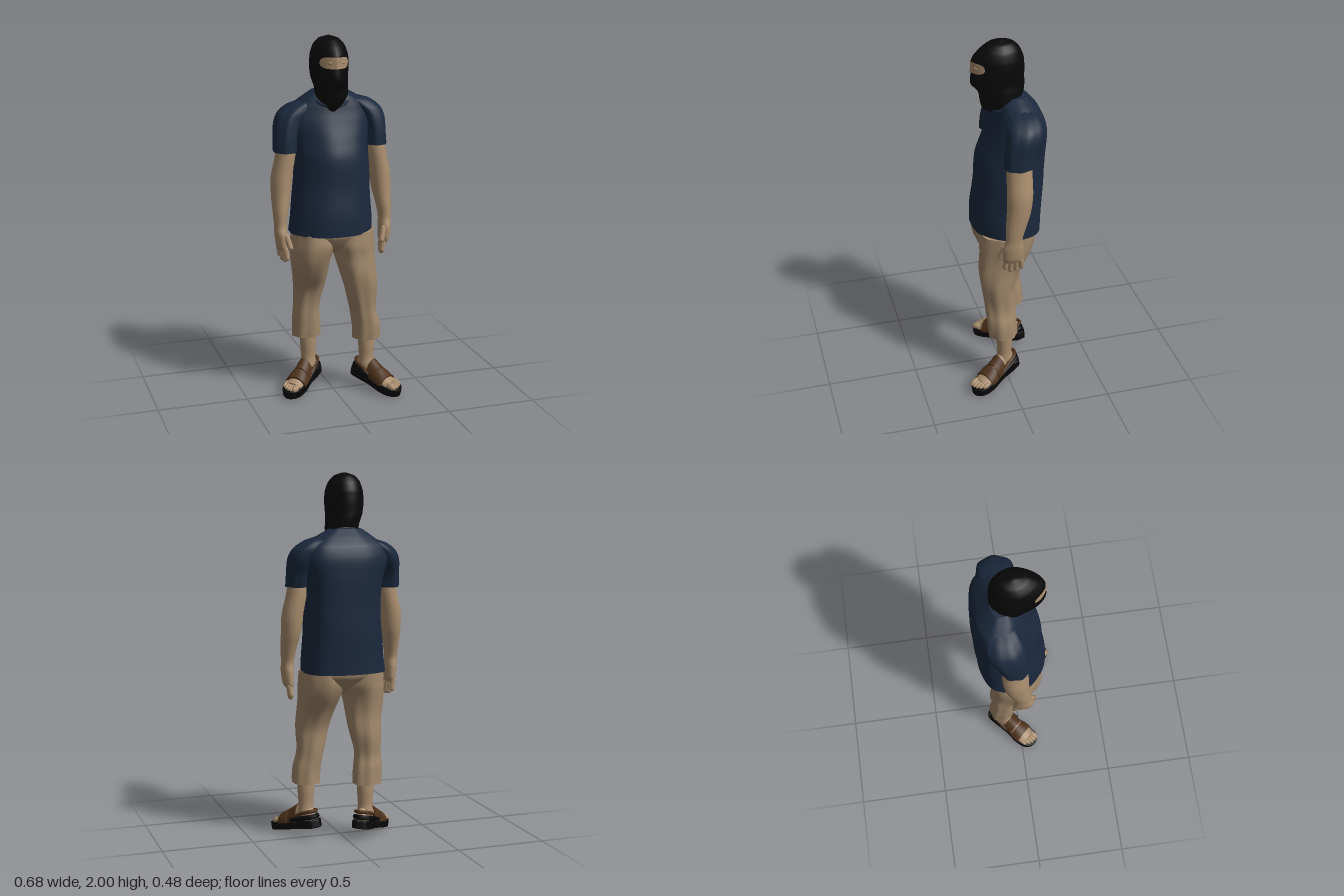
import * as THREE from 'three';

const mat = (name, color) => {
  const m = new THREE.MeshStandardMaterial({ color });
  m.name = name;
  return m;
};

// Smooth curves through sections [y, cx, cz, rx, front, back]; t is 0..1.
// A power over 1 makes that half pointed, under 1 makes it boxy.
function sampler(sections, frontPower = 1, backPower = 1) {
  const s = sections.map(([y, x, z, rx, f, b = f]) => [y, x, z, rx, f, b]);
  if (s[0][0] > s[s.length - 1][0]) s.reverse();
  const centre = new THREE.CatmullRomCurve3(s.map(([y, x, z]) => new THREE.Vector3(x, y, z)));
  const radii = new THREE.CatmullRomCurve3(s.map(([, , , rx, f, b]) => new THREE.Vector3(rx, f, b)));
  return (t, a, grow = 0) => {
    const c = centre.getPoint(t), r = radii.getPoint(t);
    const co = Math.cos(a), si = Math.sin(a), p = si < 0 ? backPower : frontPower;
    return new THREE.Vector3(
      c.x + (r.x + grow) * Math.sign(co) * Math.abs(co) ** p, c.y,
      c.z + ((si > 0 ? r.y : r.z) + grow) * Math.sign(si) * Math.abs(si) ** p);
  };
}

// Closed skin over the sections, with flat end caps and optional cloth folds
function loft(sections, { seg = 32, rows = 5, fold = 0, grow = 0, frontPower, backPower, from = 0, to = 1 } = {}) {
  const at = sampler(sections, frontPower, backPower), n = (sections.length - 1) * rows, pos = [], idx = [];
  const ring = (t) => {
    for (let j = 0; j < seg; j++) {
      const a = (j / seg) * Math.PI * 2, y = at(t, 0).y;
      const w = fold * Math.sin(3 * a + 11 * y) * Math.sin(4 * a - 9 * y);
      pos.push(...at(t, a, grow + w).toArray());
    }
  };
  for (let i = 0; i <= n; i++) ring(from + (to - from) * i / n);
  for (let i = 0; i < n; i++) for (let j = 0; j < seg; j++) {
    const k = (j + 1) % seg, a = i * seg + j, b = i * seg + k;
    idx.push(a, a + seg, b, b, a + seg, b + seg);
  }
  for (const [t, top] of [[from, false], [to, true]]) {
    const start = pos.length / 3;
    ring(t);
    const p = at(t, 0).add(at(t, Math.PI)).multiplyScalar(0.5);
    pos.push(p.x, p.y, p.z);
    for (let j = 0; j < seg; j++) {
      const a = start + j, b = start + (j + 1) % seg;
      idx.push(start + seg, top ? b : a, top ? a : b);
    }
  }
  const g = new THREE.BufferGeometry();
  g.setAttribute('position', new THREE.Float32BufferAttribute(pos, 3));
  g.setIndex(idx);
  g.computeVertexNormals();
  return g;
}

export function createModel() {
  const model = new THREE.Group();
  const black = mat('black', 0x080808), navy = mat('navy', 0x1b293d), skin = mat('skin', 0xa98d6e);
  const khaki = mat('khaki', 0xa0876a), brown = mat('brown', 0x4e321b);
  const add = (name, geo, m, parent = model) => {
    const mesh = new THREE.Mesh(geo, m);
    mesh.name = name;
    parent.add(mesh);
    return mesh;
  };

  // Hood
  const head = [
    [1.6, -0.01, -0.03, 0.03, 0.07, 0.05], [1.64, -0.005, -0.03, 0.065, 0.12, 0.08],
    [1.68, -0.003, -0.02, 0.086, 0.122, 0.1], [1.73, -0.008, -0.01, 0.09, 0.12, 0.124],
    [1.78, -0.02, -0.002, 0.097, 0.15, 0.137], [1.85, -0.021, -0.004, 0.104, 0.145, 0.135],
    [1.9, -0.021, -0.004, 0.1, 0.146, 0.131], [1.95, -0.021, -0.008, 0.084, 0.113, 0.108],
    [1.985, -0.021, -0.012, 0.052, 0.07, 0.07], [2, -0.021, -0.014, 0.008, 0.01, 0.01]];
  add('hood', loft(head, { seg: 40, rows: 6, frontPower: 1.2 }), black);

  // Skin in the eye opening, with a raised nose bridge and eyelids
  const headAt = sampler(head, 1.2);
  const eyeBand = new THREE.PlaneGeometry(1, 1, 40, 8), ep = eyeBand.attributes.position;
  for (let i = 0; i < ep.count; i++) {
    const u = ep.getX(i) * 2, v = ep.getY(i) * 2;
    const t = (5.43 + v * 0.58 * Math.sqrt(Math.max(0, 1 - u ** 6))) / 9;
    const p = headAt(t, Math.PI / 2 - u * 0.88 + 0.03, 0.003);
    p.z += 0.005 * Math.exp(-u * u * 40) * (1 - v) / 2;
    ep.setXYZ(i, p.x, p.y, p.z);
  }
  eyeBand.computeVertexNormals();
  add('eyeOpening', eyeBand, skin);
  for (const s of [-1, 1]) {
    const lid = add('eyelid', new THREE.SphereGeometry(1, 14, 8), skin);
    lid.scale.set(0.014, 0.008, 0.006);
    lid.position.copy(headAt(5.4 / 9, Math.PI / 2 - s * 0.4, 0.001));
    lid.rotation.y = s * 0.4;
  }

  // Shirt body and collar
  add('shirtBody', loft([
    [0.935, -0.008, -0.03, 0.23, 0.188, 0.185], [1.05, 0, -0.03, 0.22, 0.185, 0.192],
    [1.2, 0.005, -0.04, 0.208, 0.18, 0.187], [1.35, 0.008, -0.06, 0.204, 0.187, 0.175],
    [1.45, 0.01, -0.08, 0.213, 0.175, 0.155], [1.55, 0.005, -0.09, 0.235, 0.142, 0.142],
    [1.62, 0.008, -0.1, 0.212, 0.125, 0.112], [1.665, 0.008, -0.09, 0.155, 0.1, 0.085],
    [1.705, 0, -0.08, 0.09, 0.06, 0.055]], { seg: 56, fold: 0.004, backPower: 0.78 }), navy);
  const collar = [];
  for (let i = 0; i < 16; i++) {
    const a = (i / 16) * Math.PI * 2, s = Math.sin(a);
    collar.push(new THREE.Vector3(0.094 * Math.cos(a), 1.667 - 0.042 * s, -0.042 + 0.083 * s));
  }
  add('collar', new THREE.TubeGeometry(new THREE.CatmullRomCurve3(collar, true), 48, 0.008, 8, true), navy);

  // Sleeves, arms and hands
  for (const s of [-1, 1]) {
    const left = s > 0, side = left ? 'left' : 'right', lift = left ? 0.016 : 0;
    add(side + 'Sleeve', loft([
      [1.652, 0.115, -0.09, 0.04, 0.045], [1.628, 0.158, -0.092, 0.072, 0.078],
      [1.585, 0.206, -0.083, 0.08, 0.094], [1.535, 0.235, -0.07, 0.073, 0.095],
      [1.46, 0.25, -0.048, 0.063, 0.085], [1.385, 0.255, -0.04, 0.063, 0.077]]
      .map(([y, x, ...r]) => [y + lift, x * s, ...r]), { fold: 0.006 }), navy);

    add(side + 'Arm', loft([
      [1.46, 0.25, -0.04, 0.045, 0.06], [1.37, 0.256, -0.04, 0.054, 0.068],
      [1.25, 0.279, -0.038, 0.057, 0.069], [1.15, 0.287, -0.03, 0.052, 0.064],
      [1.06, 0.295, -0.012, 0.041, 0.054], [0.99, 0.298, -0.002, 0.034, 0.045],
      [0.94, 0.297, 0.002, 0.034, 0.056], [0.88, 0.294, 0, 0.029, 0.057],
      [0.855, 0.292, -0.001, 0.02, 0.051]].map(([y, x, ...r]) => [y, x * s, ...r]), { seg: 24 }), skin);

    const hand = new THREE.Group();
    hand.name = side + 'Fingers';
    hand.position.set(0.291 * s, 0.868, -0.001);
    model.add(hand);
    [0.052, 0.066, 0.062, 0.045].forEach((len, i) => {
      const f = add('finger', new THREE.CapsuleGeometry(0.0145, len, 4, 10), skin, hand);
      f.position.set((-0.014 + i * 0.006) * s, -len / 2 - 0.006, 0.038 - i * 0.0265);
      f.rotation.set((i - 1.5) * 0.05, 0, -0.16 * s);
    });
    const thumb = add('thumb', new THREE.CapsuleGeometry(0.0155, 0.065, 4, 10), skin, hand);
    thumb.position.set(-0.022 * s, 0.038, 0.056);
    thumb.rotation.set(-0.3, 0, -0.25 * s);
  }

  // Trousers
  add('trouserSeat', loft([
    [0.97, -0.004, -0.03, 0.215, 0.165, 0.165], [0.92, 0, -0.025, 0.222, 0.152, 0.165],
    [0.87, 0, -0.02, 0.15, 0.118, 0.13], [0.835, 0, -0.02, 0.07, 0.08, 0.085],
    [0.815, 0, -0.02, 0.03, 0.04, 0.04]], { seg: 40 }), khaki);
  const legs = {
    right: [[0.94, -0.115, -0.03, 0.11, 0.15], [0.87, -0.11, -0.02, 0.122, 0.153],
      [0.8, -0.12, -0.022, 0.112, 0.14], [0.7, -0.125, -0.045, 0.098, 0.112], [0.6, -0.125, -0.075, 0.086, 0.085],
      [0.47, -0.13, -0.088, 0.073, 0.066], [0.4, -0.13, -0.1, 0.078, 0.069], [0.31, -0.13, -0.104, 0.08, 0.068]],
    left: [[0.94, 0.115, -0.02, 0.11, 0.15], [0.87, 0.11, -0.01, 0.122, 0.152],
      [0.8, 0.122, 0, 0.113, 0.139], [0.7, 0.13, 0.03, 0.1, 0.112], [0.6, 0.142, 0.048, 0.088, 0.09],
      [0.47, 0.165, 0.036, 0.072, 0.084], [0.4, 0.178, 0.03, 0.076, 0.082], [0.31, 0.18, 0.028, 0.077, 0.08]]
  };
  for (const side in legs) add(side + 'TrouserLeg', loft(legs[side], { fold: 0.008, rows: 6 }), khaki);

  // Shins, feet and sandals
  const footSections = [
    [-0.15, 0, 0, 0.02, 0.002, 0.045], [-0.125, 0, 0, 0.037, 0.002, 0.075],
    [-0.06, 0, 0, 0.042, 0.002, 0.095], [0, 0, 0, 0.045, 0.002, 0.072],
    [0.06, 0, 0, 0.053, 0.002, 0.048], [0.115, 0, 0, 0.051, 0.002, 0.03]];
  const outline = new THREE.Shape();
  outline.moveTo(0, -0.172);
  outline.splineThru([[0.042, -0.145], [0.048, -0.08], [0.046, -0.01], [0.058, 0.08], [0.045, 0.145], [0, 0.172],
    [-0.045, 0.145], [-0.058, 0.08], [-0.046, -0.01], [-0.048, -0.08], [-0.042, -0.145], [0, -0.172]]
    .map(([x, y]) => new THREE.Vector2(x, y)));
  const soleGeo = new THREE.ExtrudeGeometry(outline, {
    depth: 0.034, curveSegments: 48, bevelThickness: 0.005, bevelSize: 0.003, bevelSegments: 2 }).rotateX(Math.PI / 2);
  // Band running round the heel at a given height
  const heelBand = (h, r) => new THREE.TubeGeometry(new THREE.CatmullRomCurve3([
    [0.048, 0.012, -0.01], [0.046, h * 0.8, -0.07], [0.036, h, -0.13], [0, h, -0.155],
    [-0.036, h, -0.13], [-0.046, h * 0.8, -0.07], [-0.048, 0.012, -0.01]]
    .map((p) => new THREE.Vector3(...p))), 32, r, 8);

  for (const [side, ax, az, fx, fz, turn] of [
    ['right', -0.12, -0.088, -0.169, -0.042, -Math.PI / 4], ['left', 0.19, 0.02, 0.229, 0.083, 0.53]]) {
    add(side + 'Shin', loft([
      [0.36, ax, az, 0.048, 0.046], [0.27, ax, az, 0.046, 0.045], [0.19, ax, az, 0.041, 0.04],
      [0.14, ax, az, 0.043, 0.046], [0.1, ax, az, 0.038, 0.045]], { seg: 24 }), skin);

    const foot = new THREE.Group();
    foot.name = side + 'Foot';
    foot.position.set(fx, 0.076, fz);
    foot.rotation.set(0.2, turn, 0, 'YXZ');
    model.add(foot);
    add('sole', soleGeo, black, foot);
    add('footBody', loft(footSections, { seg: 28 }).rotateX(Math.PI / 2), skin, foot);
    const out = side === 'left' ? 1 : -1;
    for (let i = 0; i < 5; i++) {
      const toe = add('toe', new THREE.SphereGeometry(1, 12, 8), skin, foot);
      const big = i === 0 ? 1.4 : 1;
      toe.scale.set(0.0125 * big, 0.014 * big, 0.034);
      toe.position.set(out * (-0.031 + i * 0.0185), 0.012, 0.131 + i * 0.004 - i * i * 0.0026);
    }
    // Instep straps, heel strap and heel cup
    for (const [from, to, grow] of [[0.46, 0.66, 0.008], [0.68, 0.88, 0.01]])
      add('strap', loft(footSections, { seg: 28, grow, from, to }).rotateX(Math.PI / 2), brown, foot);
    add('heelStrap', heelBand(0.052, 0.01), brown, foot);
    add('heelCup', heelBand(0.022, 0.014), black, foot);
  }
  return model;
}
